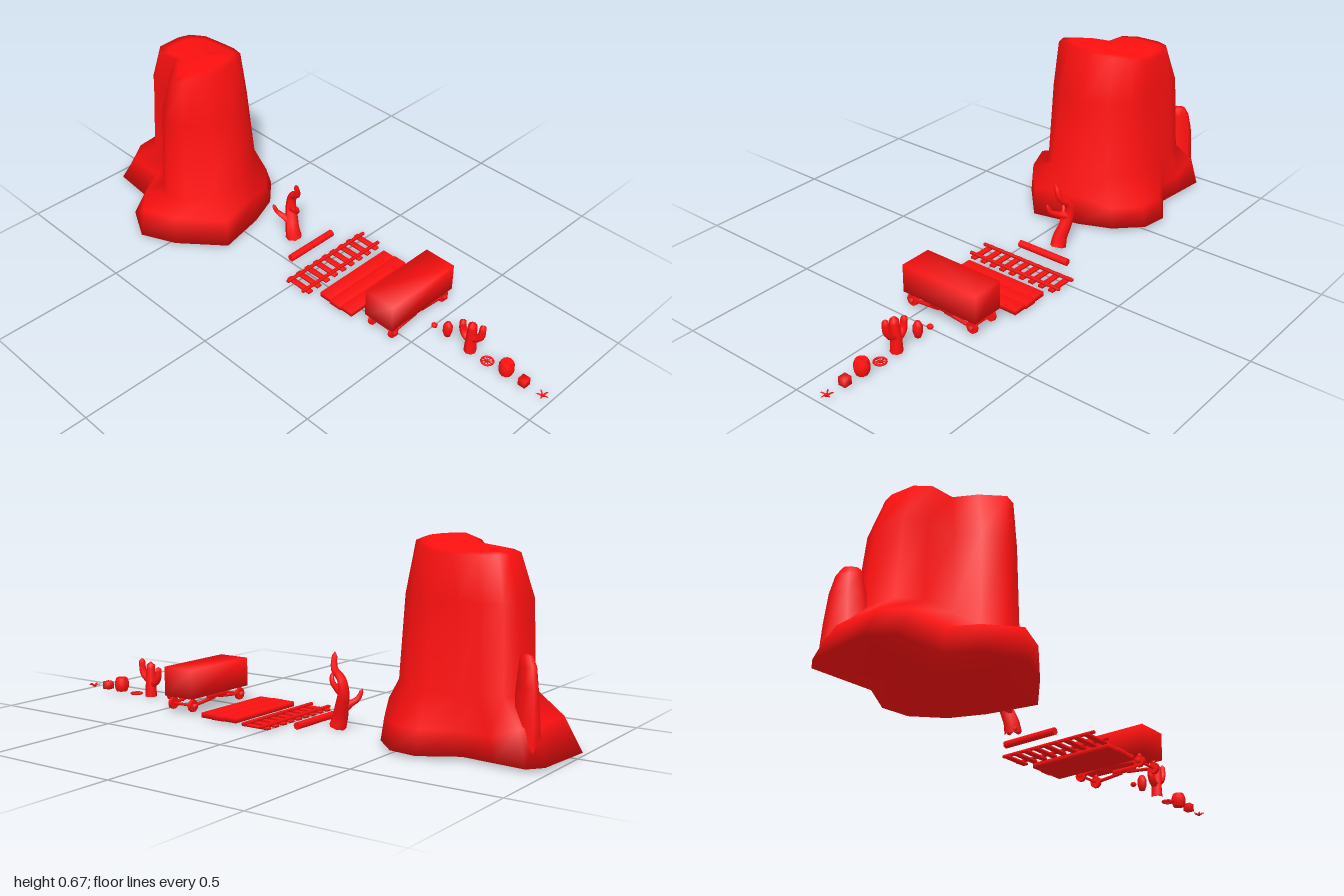
import * as THREE from 'three';
import { mergeVertices, toCreasedNormals } from 'three/addons/utils/BufferGeometryUtils.js';

const red = new THREE.MeshStandardMaterial({ color: 0xff1010 });
const V = (x, y, z) => new THREE.Vector3(x, y, z);
const ROW = -0.105; // z of the row of props

function add(parent, name, geo, x = 0, y = 0, z = 0) {
  const mesh = new THREE.Mesh(geo, red);
  mesh.name = name;
  mesh.position.set(x, y, z);
  parent.add(mesh);
  return mesh;
}

function group(parent, name, x = 0, y = 0, z = 0) {
  const g = new THREE.Group();
  g.name = name;
  g.position.set(x, y, z);
  parent.add(g);
  return g;
}

// Box with shared, smooth corner normals
function box(w, h, d) {
  const geo = new THREE.BoxGeometry(w, h, d);
  geo.deleteAttribute('uv');
  geo.deleteAttribute('normal');
  const merged = mergeVertices(geo);
  merged.computeVertexNormals();
  return merged;
}

// Smooth skin over closed rings
function loft(rings) {
  const n = rings[0].length, pos = [], idx = [];
  rings.forEach(r => r.forEach(p => pos.push(p.x, p.y, p.z)));
  for (let i = 0; i < rings.length - 1; i++) {
    for (let j = 0; j < n; j++) {
      const a = i * n + j, b = i * n + (j + 1) % n;
      idx.push(a, a + n, b, b, a + n, b + n);
    }
  }
  const geo = new THREE.BufferGeometry();
  geo.setAttribute('position', new THREE.Float32BufferAttribute(pos, 3));
  geo.setIndex(idx);
  geo.computeVertexNormals();
  return geo;
}

// Tube along points whose radius runs from r0 to r1 and closes at the tip
function limb(points, r0, r1, sides = 6, steps = 10) {
  const curve = new THREE.CatmullRomCurve3(points.map(p => V(...p)));
  const geo = new THREE.TubeGeometry(curve, steps, 1, sides);
  const pos = geo.attributes.position, v = V(0, 0, 0);
  for (let i = 0; i < pos.count; i++) {
    const t = Math.floor(i / (sides + 1)) / steps;
    const p = curve.getPointAt(t);
    const r = t === 1 ? 0 : THREE.MathUtils.lerp(r0, r1, t);
    v.fromBufferAttribute(pos, i).sub(p).multiplyScalar(r).add(p);
    pos.setXYZ(i, v.x, v.y, v.z);
  }
  geo.computeVertexNormals();
  return geo;
}

function buildMesa(root) {
  const mesa = group(root, 'mesa');
  // Per column: foot x,z, wall x,z, upper wall x,z, rim x,z, rim height, skirt slope
  const cols = [
    [-1, .04, -.855, 0, -.845, 0, -.8, -.01, .62, .4],
    [-.98, -.19, -.865, -.12, -.845, -.12, -.805, -.1, .62, .35],
    [-.94, -.24, -.84, -.19, -.825, -.175, -.79, -.145, .62, .3],
    [-.83, -.23, -.77, -.21, -.76, -.19, -.74, -.18, .62, .3],
    [-.72, -.22, -.69, -.21, -.68, -.19, -.66, -.19, .62, .4],
    [-.6, -.295, -.59, -.22, -.59, -.19, -.59, -.19, .625, .3],
    [-.5, -.28, -.51, -.205, -.515, -.18, -.525, -.165, .64, .3],
    [-.41, -.19, -.44, -.13, -.455, -.12, -.485, -.11, .65, .2],
    [-.36, -.07, -.395, -.04, -.42, -.03, -.465, -.02, .655, .1],
    [-.32, .11, -.405, .09, -.43, .08, -.465, .07, .655, .03],
    [-.47, .24, -.485, .17, -.49, .155, -.49, .135, .655, .1],
    [-.6, .3, -.565, .187, -.555, .172, -.535, .147, .655, .15],
    [-.73, .23, -.64, .15, -.63, .13, -.61, .09, .645, .45],
    [-.78, .135, -.68, .07, -.675, .05, -.66, .025, .635, .45],
    [-.95, .12, -.795, .06, -.785, .045, -.755, .03, .625, .4],
  ];
  const top = V(-.59, .655, -.05);
  const foot = cols.map(c => V(c[0], .008, c[1]));
  const wall = cols.map((c, i) => V(c[2], i > 9 && i < 13 ? .152 : .2, c[3]));
  const rim = cols.map(c => V(c[6], c[8], c[7]));
  const skirt = foot.map((p, i) => {
    const q = p.clone().lerp(wall[i], cols[i][9]);
    q.y = i > 2 && i < 8 ? .085 : .12;
    return q;
  });
  const upper = cols.map(c => V(c[4], .48, c[5]));
  const cap = rim.map(p => {
    const q = p.clone().lerp(top, .2);
    q.y = p.y + .007;
    return q;
  });
  const under = foot.map(() => V(-.65, .008, -.02));
  add(mesa, 'mesaRock', loft([under, foot, skirt, wall, upper, rim, cap, rim.map(() => top)]));

  // Side spire, a thin blade set diagonally: x, y, z, half length, half width
  const levels = [[-.89, .05, -.15, .08, .05], [-.895, .14, -.15, .072, .038], [-.9, .24, -.155, .056, .029],
    [-.9, .3, -.155, .042, .025], [-.895, .33, -.155, .028, .018], [-.895, .335, -.155, 0, 0]];
  const spire = levels.map(([x, y, z, len, wid]) => Array.from({ length: 8 }, (_, j) => {
    const a = j / 8 * Math.PI * 2;
    const u = -len * Math.cos(a) * Math.SQRT1_2, w = wid * Math.sin(a) * Math.SQRT1_2;
    return V(x + u + w, y, z + u - w);
  }));
  add(mesa, 'mesaSpire', loft(spire));
}

function buildDeadTree(root) {
  const tree = group(root, 'deadTree');
  add(tree, 'trunk', limb([[-.185, .005, -.105], [-.195, .04, -.105], [-.208, .08, -.115],
    [-.222, .13, -.125], [-.215, .175, -.128], [-.178, .205, -.115], [-.17, .262, -.1]], .03, .008, 7, 18));
  add(tree, 'leftBranch', limb([[-.2, .055, -.11], [-.225, .085, -.095], [-.25, .105, -.08],
    [-.262, .14, -.07]], .017, .006));
  add(tree, 'rightBranch', limb([[-.22, .125, -.125], [-.185, .135, -.105], [-.152, .155, -.09],
    [-.145, .185, -.08]], .016, .006));
  [[-.165, -.09], [-.205, -.08], [-.185, -.13]].forEach(([x, z]) =>
    add(tree, 'root', limb([[-.187, .03, -.105], [(x - .187) / 2, .017, (z - .105) / 2], [x, .006, z]], .016, .007)));
}

function buildTrack(root) {
  const track = group(root, 'track', .03, 0, -.1);
  for (const x of [-.038, .038]) add(track, 'rail', box(.01, .009, .4), x, .0165);
  for (let i = 0; i < 9; i++) add(track, 'tie', box(.11, .008, .02), 0, .009, (i - 4) * .0435);

  // Deck of three boards, the middle one longest
  const deck = group(root, 'boardDeck', .198, .015, ROW);
  for (const i of [-1, 0, 1]) add(deck, 'board', box(.051, .018, i ? .333 : .342), i * .051);
}

function buildCart(root) {
  const cart = group(root, 'cart', .398, 0, -.0975);
  add(cart, 'cartBody', box(.125, .105, .315), 0, .111);
  for (const s of [-1, 1]) {
    const z = s * .131;
    const axle = add(cart, 'axle', new THREE.CylinderGeometry(.005, .005, .115, 6), 0, .03, z);
    axle.rotation.z = Math.PI / 2;
    for (const x of [-.046, .046]) {
      const wheel = add(cart, 'wheel', new THREE.CylinderGeometry(.022, .022, .012, 10), x, .03, z);
      wheel.rotation.z = Math.PI / 2;
      add(cart, 'axleBox', box(.012, .016, .016), x * 1.2, .03, z);
      add(cart, 'post', box(.008, .035, .012), x, .044, z);
      // Sloping side brace
      const brace = add(cart, 'brace', box(.01, .009, .115), x, .036, s * .07);
      brace.rotation.x = s * .1;
    }
  }
  for (const x of [-.046, .046]) add(cart, 'sideBeam', box(.012, .016, .1), x, .05);
}

function buildProps(root) {
  // Log
  const log = add(root, 'log', new THREE.CylinderGeometry(.0135, .0135, .215, 8), -.095, .016, -.107);
  log.rotation.x = Math.PI / 2;

  // Pebble and small round cactus
  add(root, 'pebble', new THREE.SphereGeometry(.012, 6, 5), .512, .015, ROW).scale.y = .8;
  const bud = [[0, 0], [.011, 0], [.017, .02], [.017, .042], [.01, .057], [0, .062]]
    .map(p => new THREE.Vector2(...p));
  add(root, 'smallCactus', new THREE.LatheGeometry(bud, 8), .57, .007, ROW);

  // Tall cactus with raised arms
  const cactus = group(root, 'cactus', .67, 0, ROW);
  add(cactus, 'cactusTrunk', limb([[0, .005, 0], [0, .05, 0], [.002, .1, .002], [.003, .138, .004]], .022, .015, 8));
  add(cactus, 'leftArm', limb([[0, .065, 0], [.026, .078, 0], [.04, .1, 0], [.044, .148, 0]], .016, .011, 7));
  add(cactus, 'rightArm', limb([[0, .05, 0], [-.024, .062, 0], [-.036, .08, 0], [-.04, .122, 0]], .016, .011, 7));

  // Wagon wheel lying flat
  const wheel = group(root, 'wagonWheel', .745, .007, ROW);
  add(wheel, 'wheelRim', new THREE.TorusGeometry(.021, .0035, 6, 14)).rotation.x = Math.PI / 2;
  add(wheel, 'wheelHub', new THREE.CylinderGeometry(.005, .005, .007, 8));
  for (let i = 0; i < 4; i++) add(wheel, 'spoke', box(.04, .003, .003)).rotation.y = i * Math.PI / 4;

  // Barrel
  const stave = [[0, 0], [.021, 0], [.027, .016], [.027, .036], [.021, .052], [0, .052]]
    .map(p => new THREE.Vector2(...p));
  add(root, 'barrel', toCreasedNormals(new THREE.LatheGeometry(stave, 10), .8), .823, .007, ROW);

  // Crate
  add(root, 'crate', box(.029, .029, .029), .896, .0215, ROW);

  // Dry grass tuft
  const tuft = group(root, 'grassTuft', .972, .008, ROW);
  for (let i = 0; i < 5; i++) {
    const a = i / 5 * Math.PI * 2, c = Math.cos(a), s = Math.sin(a);
    add(tuft, 'blade', limb([[0, 0, 0], [c * .012, .008, s * .012], [c * .024, .008, s * .024]], .004, .002, 4, 4));
  }
}

export function createModel() {
  const root = new THREE.Group();
  root.name = 'desertSet';
  buildMesa(root);
  buildDeadTree(root);
  buildTrack(root);
  buildCart(root);
  buildProps(root);
  return root;
}
